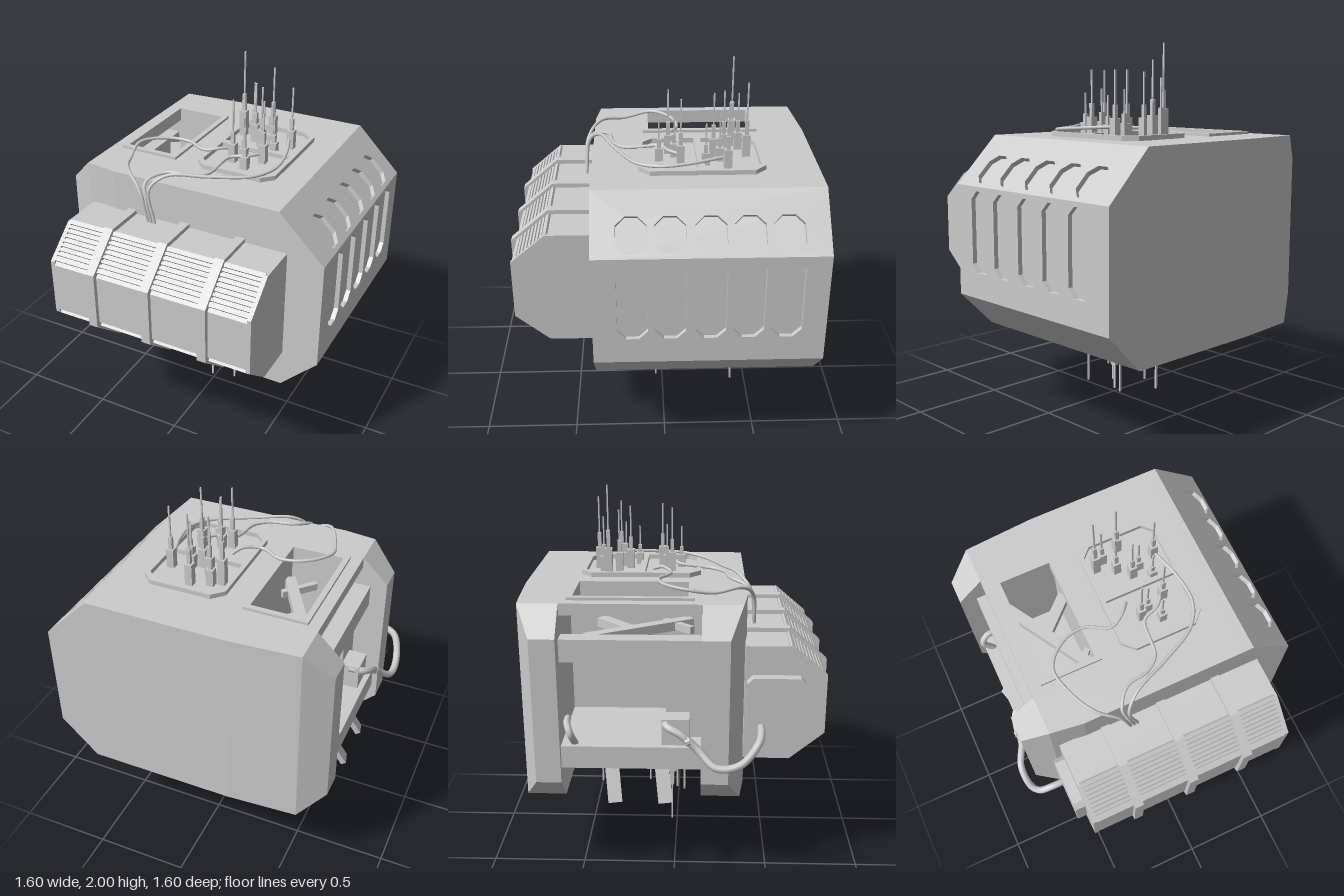
import * as THREE from 'three';

const mat = new THREE.MeshStandardMaterial({ color: 0xcccccc, flatShading: true, side: THREE.DoubleSide });
const smooth = new THREE.MeshStandardMaterial({ color: 0xcccccc });

export function createModel() {
  const root = new THREE.Group();
  const add = (name, geo, parent = root, m = mat) => {
    const mesh = new THREE.Mesh(geo, m);
    mesh.name = name;
    parent.add(mesh);
    return mesh;
  };
  // Box given by its limits
  const box = (name, x0, x1, y0, y1, z0, z1, parent = root) =>
    add(name, new THREE.BoxGeometry(x1 - x0, y1 - y0, z1 - z0)
      .translate((x0 + x1) / 2, (y0 + y1) / 2, (z0 + z1) / 2), parent);
  // Square bar between two points
  const bar = (name, a, b, w, d) => {
    const p = new THREE.Vector3(...a), q = new THREE.Vector3(...b);
    const m = add(name, new THREE.BoxGeometry(w, d, p.distanceTo(q)));
    m.position.copy(p).lerp(q, 0.5);
    m.lookAt(q);
  };
  const tube = (name, pts, r) => add(name, new THREE.TubeGeometry(
    new THREE.CatmullRomCurve3(pts.map(p => new THREE.Vector3(...p))), 48, r, 8), root, smooth);
  // Rectangle with cut corners: c0 at the low-y end, c1 at the high-y end
  const octPoints = (x0, x1, y0, y1, c0, c1 = c0) => [
    [x0 + c0, y0], [x1 - c0, y0], [x1, y0 + c0], [x1, y1 - c1],
    [x1 - c1, y1], [x0 + c1, y1], [x0, y1 - c1], [x0, y0 + c0]].map(p => new THREE.Vector2(...p));
  const shape = (pts, holes = []) => {
    const s = new THREE.Shape(pts.map(p => p.isVector2 ? p : new THREE.Vector2(...p)));
    s.holes = holes.map(h => new THREE.Path(h));
    return s;
  };
  const extrude = (s, depth) => new THREE.ExtrudeGeometry(s, { depth, bevelEnabled: false });
  const extrudeX = (s, x0, w) => extrude(s, w).rotateY(Math.PI / 2).translate(x0, 0, 0); // shape x = -z
  const extrudeY = (s, y0, h) => extrude(s, h).rotateX(-Math.PI / 2).translate(0, y0, 0); // shape y = -z

  // Prism through rectangular sections [x, yLow, yHigh, zBack, zFront]
  const loft = sections => {
    const rings = sections.map(([x, a, b, c, d]) => [[x, a, c], [x, b, c], [x, b, d], [x, a, d]]);
    const v = [];
    const quad = (a, b, c, d) => v.push(...a, ...b, ...c, ...a, ...c, ...d);
    for (let k = 0; k < rings.length - 1; k++)
      for (let i = 0; i < 4; i++) {
        const j = (i + 1) % 4;
        quad(rings[k][i], rings[k][j], rings[k + 1][j], rings[k + 1][i]);
      }
    const s = rings[0], e = rings[rings.length - 1];
    quad(s[0], s[3], s[2], s[1]);
    quad(e[0], e[1], e[2], e[3]);
    const g = new THREE.BufferGeometry();
    g.setAttribute('position', new THREE.Float32BufferAttribute(v, 3));
    g.computeVertexNormals();
    return g;
  };

  // Main hull: back and front blocks with tapered corners, solid core between them
  const D = 0.025;
  add('hullBack', loft([[-0.72, 0.6, 1.37, -0.7, -0.57], [-0.58, 0.46, 1.51, -0.775, -0.57],
    [-0.2, 0.46, 1.51, -0.8, -0.57], [-0.18, 0.46, 1.51, -0.8, -0.57]]));
  add('hullFront', loft([[-0.72, 0.6, 1.37, 0.14, 0.28], [-0.58, 0.46, 1.51, 0.14, 0.345],
    [-0.4, 0.46, 1.51, 0.14, 0.37], [-0.18, 0.46, 1.51, 0.14, 0.37]]));
  add('hullCore', loft([[-0.18, 0.46, 1.51, -0.8, 0.37], [0.515, 0.46, 1.51, -0.8, 0.37],
    [0.6, 0.46, 1.425, -0.8, 0.37], [0.8 - D, 0.66 - D, 1.26 - 0.01, -0.8, 0.37]]));

  // Window plates on the left side and on the slope above it
  const windowPlate = (name, y0, y1, w0, w1, edge, shift) => {
    const holes = [-0.17, 0.02, 0.22, 0.41, 0.6].map(s => octPoints(s - 0.077, s + 0.077, w0, w1, 0.045));
    const g = extrudeX(shape([[-0.37, y0], [0.8, y0], [0.8, y1], [-0.37, y1]], holes), -D, D);
    const p = g.attributes.position;
    for (let i = 0; i < p.count; i++) // mitre the free edge
      if (p.getX(i) < -D / 2 && Math.abs(p.getY(i) - edge) < 1e-4) p.setY(i, edge + shift);
    return add(name, g);
  };
  windowPlate('sideWindows', 0.66, 1.26, 0.8, 1.235, 0.66, -D).position.x = 0.8;
  const slope = windowPlate('slopeWindows', 0, 0.3536, 0.025, 0.215, 0.3536, D);
  slope.position.set(0.8, 1.26, 0);
  slope.rotation.z = Math.PI / 4;

  // Open bay on the right side
  const rect = (x0, x1, z0, z1) => octPoints(x0, x1, -z1, -z0, 0.001);
  const hatch = rect(-0.49, -0.21, -0.51, 0.07);
  add('bayRoof', extrudeY(shape(rect(-0.58, -0.18, -0.57, 0.14), [hatch]), 1.45, 0.06));
  add('hatchFrame', extrudeY(shape(rect(-0.52, -0.18, -0.54, 0.1), [hatch]), 1.5, 0.025));
  box('bayTopBeam', -0.63, -0.54, 1.22, 1.34, -0.58, 0.15);
  box('bayFloor', -0.69, -0.17, 0.74, 0.79, -0.58, 0.15);
  box('bayShelf', -0.69, -0.6, 0.67, 0.79, -0.58, 0.15);
  box('bayColumn', -0.56, -0.4, 0.78, 1.25, -0.04, 0.15);
  box('pipeBox', -0.66, -0.52, 0.78, 0.93, -0.06, 0.08);
  bar('hatchStrut', [-0.5, 1.3, -0.45], [-0.19, 1.3, 0.08], 0.06, 0.05);
  bar('hatchStrut', [-0.19, 1.3, -0.4], [-0.38, 1.3, -0.22], 0.06, 0.05);
  bar('hatchStrut', [-0.34, 1.3, 0.09], [-0.2, 1.3, -0.06], 0.03, 0.04);
  for (const z of [-0.3, -0.04]) {
    bar('bayLeg', [-0.52, 0.76, z - 0.04], [-0.685, 0.47, z], 0.07, 0.03);
    bar('bayLegBrace', [-0.3, 0.5, z], [-0.6, 0.74, z], 0.05, 0.03);
  }
  tube('sidePipe', [[-0.6, 0.91, -0.05], [-0.68, 0.9, -0.03], [-0.71, 0.87, 0.04], [-0.72, 0.8, 0.12],
    [-0.775, 0.72, 0.22], [-0.775, 0.74, 0.34], [-0.73, 0.84, 0.43], [-0.66, 0.87, 0.445], [-0.59, 0.87, 0.445]], 0.02);
  add('pipeCollar', new THREE.CylinderGeometry(0.026, 0.026, 0.025, 10).rotateX(Math.PI / 2.6)).position.set(-0.714, 0.84, 0.075);
  tube('shortPipe', [[-0.58, 0.9, -0.545], [-0.65, 0.9, -0.54], [-0.69, 0.86, -0.52], [-0.64, 0.78, -0.5]], 0.018);

  // Front cabin: core, end plates, bands and slatted slopes
  const cabin = new THREE.Group();
  cabin.name = 'frontCabin';
  root.add(cabin);
  // o grows the whole outline, cut sinks the two slopes
  const profile = (o, cut) => shape([[-0.36, 0.672 - o], [-0.6 + cut, 0.672 - o], [-0.777 - o, 0.82 + cut],
    [-0.777 - o, 1.137 - cut], [-0.6 + cut, 1.288 + o], [-0.36, 1.288 + o]]);
  add('cabinCore', extrudeX(profile(0, 0.02), -0.54, 1.13), cabin);
  for (const x of [-0.55, 0.58]) add('cabinEnd', extrudeX(profile(0, 0), x, 0.022), cabin);
  for (const x of [-0.32, 0, 0.32]) add('cabinBand', extrudeX(profile(0.023, 0), x, 0.05), cabin);
  for (const [y0, y1] of [[1.288, 1.137], [0.672, 0.82]])
    for (let i = 0; i <= 8; i++) {
      const t = i / 8, edge = i % 8 === 0;
      const slat = add('cabinSlat', new THREE.BoxGeometry(1.13, edge ? 0.024 : 0.016, 0.02), cabin);
      slat.position.set(0.025, THREE.MathUtils.lerp(y0, y1, 0.05 + t * 0.9), 0.598 + 0.177 * (0.05 + t * 0.9) - 0.012);
      slat.rotation.x = (y0 > y1 ? -1 : 1) * 0.86;
    }
  add('cabinSideBox', extrudeX(shape(octPoints(-0.67, -0.37, 0.83, 1.135, 0.03)), -0.605, 0.06), cabin);

  // Antenna trays on the roof and underneath
  const tray = (name, y, h, x0, x1, z0, z1) => {
    const r = 0.025, mid = (z0 + z1) / 2 + 0.005;
    add(name, extrudeY(shape(octPoints(x0, x1, -z1, -z0, 0.06), [
      octPoints(x0 + r, x1 - r, -mid + 0.018, -z0 - r, 0.001, 0.05),
      octPoints(x0 + r, x1 - r, -z1 + r, -mid - 0.018, 0.05, 0.001)]), y, h));
  };
  tray('roofTray', 1.505, 0.03, -0.06, 0.395, -0.525, 0.13);
  tray('bellyTray', 0.45, 0.02, -0.12, 0.47, -0.67, 0.12);

  // Antennas: wide foot, narrow socket, thin mast
  const antenna = (x, z, y, tip, w) => {
    const g = new THREE.Group();
    g.name = 'antenna';
    root.add(g);
    const h = tip - y;
    for (const [t0, t1, f] of [[0, 0.3, 1], [0.3, 0.5, 0.5], [0.5, 1, 0.2]]) {
      const a = y + h * t0, b = y + h * t1, r = w * f / 2;
      box('antennaStage', x - r, x + r, Math.min(a, b), Math.max(a, b), z - r, z + r, g);
    }
  };
  [[0, -0.375, 2], [0.05, -0.405, 1.82], [0.15, -0.44, 1.91], [0.095, -0.325, 1.85], [0.16, -0.265, 1.86],
    [0.21, -0.295, 1.76], [0.255, -0.22, 1.73], [0.31, -0.33, 1.86], [0.15, -0.06, 1.76], [0.1, -0.03, 1.86],
    [0.25, -0.09, 1.86], [0.195, 0.02, 1.74]].forEach(([x, z, t]) => antenna(x, z, 1.51, t, 0.04));
  [[0.165, 0.04, 0.1], [0.045, 0, 0.18], [-0.02, -0.03, 0], [0.1, -0.1, 0.17], [0.17, -0.17, 0.16],
    [0.24, -0.23, 0.28], [0.36, -0.38, 0.21], [0.13, -0.46, 0.17], [0.29, -0.53, 0.28],
    [0.21, -0.43, 0.28]].forEach(([x, z, t]) => antenna(x, z, 0.46, t, 0.05));

  // Roof cables dropping to the cabin
  tube('cable', [[0.06, 1.53, -0.13], [0.02, 1.55, -0.08], [-0.07, 1.54, -0.03], [-0.2, 1.54, -0.09], [-0.33, 1.545, -0.06],
    [-0.43, 1.545, 0.05], [-0.4, 1.52, 0.2], [-0.33, 1.53, 0.34], [-0.22, 1.46, 0.41], [-0.17, 1.29, 0.42]], 0.009);
  tube('cable', [[0.25, 1.56, -0.1], [0.19, 1.56, -0.03], [0.1, 1.55, 0.01], [0.07, 1.53, 0.2], [0, 1.53, 0.26],
    [-0.13, 1.53, 0.29], [-0.2, 1.5, 0.38], [-0.18, 1.42, 0.415], [-0.15, 1.29, 0.42]], 0.009);
  tube('cable', [[0.31, 1.57, -0.3], [0.36, 1.56, -0.14], [0.37, 1.55, 0.02], [0.3, 1.54, 0.14], [0.1, 1.54, 0.25],
    [-0.1, 1.54, 0.34], [-0.17, 1.47, 0.4], [-0.13, 1.29, 0.42]], 0.009);

  return root;
}
